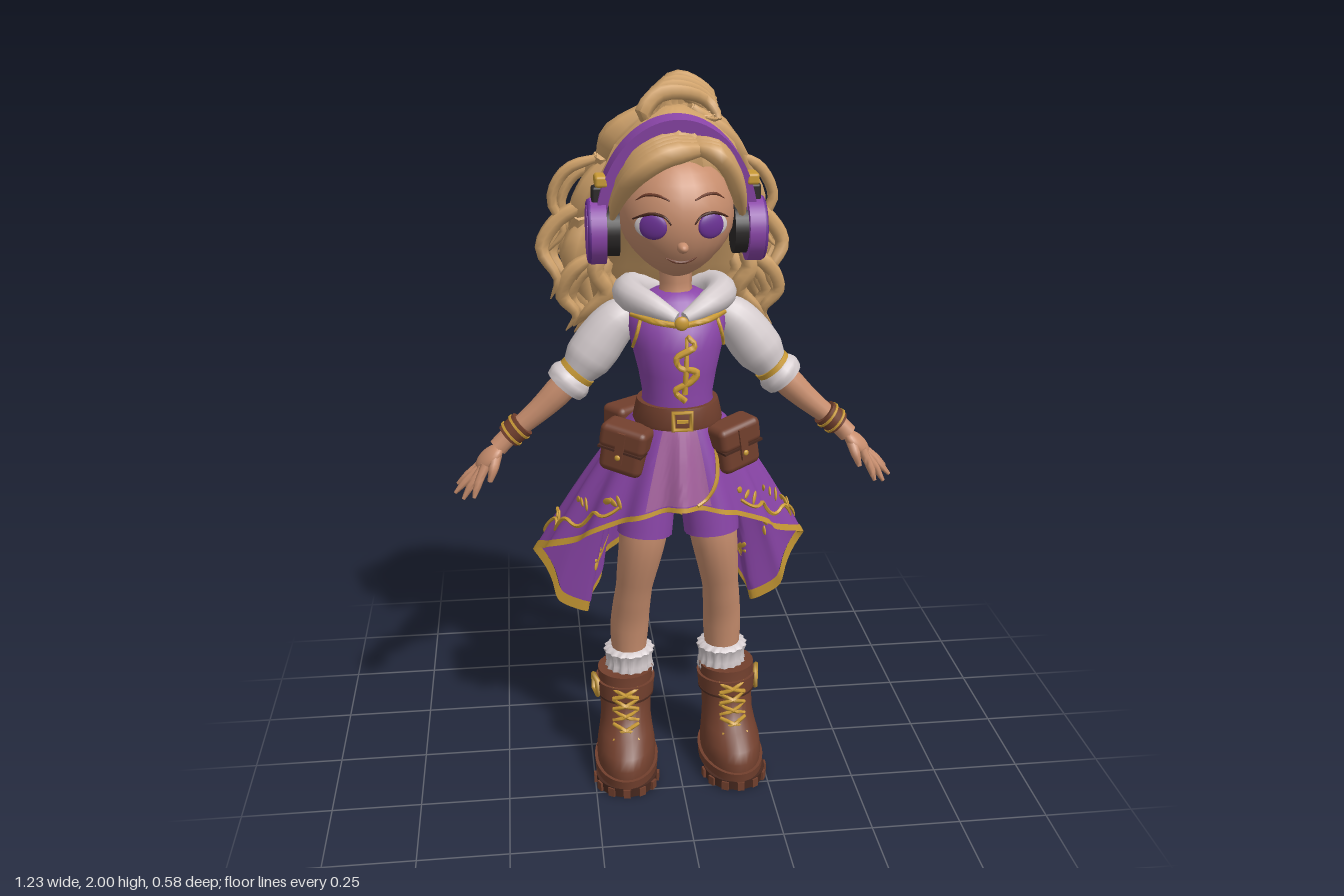
import * as THREE from 'three';
import { toCreasedNormals } from 'three/addons/utils/BufferGeometryUtils.js';
import { RoundedBoxGeometry } from 'three/addons/geometries/RoundedBoxGeometry.js';

const colours = { hair: 0xd0a26a, skin: 0xc88e6e, purple: 0x8a45a8, deepPurple: 0x6c3296, lavender: 0xa3609c,
  white: 0xd4cbcd, leather: 0x713f2d, darkLeather: 0x4a2a20, gold: 0xc99a35, charcoal: 0x2b2828 };
const { sin, cos, PI, sqrt, max, min, floor, abs } = Math;
const lerp = THREE.MathUtils.lerp;
const V = (x, y, z) => new THREE.Vector3(x, y, z);

// value of a list at t in 0..1
function sample(list, t) {
  const f = t * (list.length - 1), i = min(floor(f), list.length - 2);
  return lerp(list[i], list[i + 1], f - i);
}
// grid surface from a rule; u to the right and v up give an outward face
function surface(fn, nu, nv) {
  const pos = [], idx = [];
  for (let i = 0; i <= nv; i++) for (let j = 0; j <= nu; j++) pos.push(...fn(j / nu, i / nv));
  for (let i = 0; i < nv; i++) for (let j = 0; j < nu; j++) {
    const a = i * (nu + 1) + j, d = a + nu + 1;
    idx.push(a, a + 1, d + 1, a, d + 1, d);
  }
  const g = new THREE.BufferGeometry();
  g.setAttribute('position', new THREE.Float32BufferAttribute(pos, 3));
  g.setIndex(idx);
  return toCreasedNormals(g, 1.05);
}
// stacked ellipses, rows [y, centre z, x radius, z radius], with closed ends
function loft(rows, nu = 28, ripple = 0, waves = 0) {
  const r = [[rows[0][0], rows[0][1], 0, 0], ...rows, [rows.at(-1)[0], rows.at(-1)[1], 0, 0]];
  return surface((u, v) => {
    const [y, cz, rx, rz] = r[Math.round(v * (r.length - 1))], a = u * 2 * PI, k = 1 + ripple * cos(a * waves);
    return [rx * k * sin(a), y, cz + rz * k * cos(a)];
  }, nu, r.length - 1);
}
// round limb along a smooth path with changing radius and flat ends
function limb(points, radii, n = 14, m = 8) {
  const curve = new THREE.CatmullRomCurve3(points.map(p => V(...p)));
  const g = new THREE.TubeGeometry(curve, n, 1, m), p = g.attributes.position, nor = g.attributes.normal;
  for (let i = 0; i <= n; i++) {
    const t = min(max((i - 1) / (n - 2), 0), 1), c = curve.getPointAt(t);
    const r = i === 0 || i === n ? 0 : sample(radii, t);
    for (let j = 0; j <= m; j++) {
      const k = i * (m + 1) + j;
      p.setXYZ(k, c.x + nor.getX(k) * r, c.y + nor.getY(k) * r, c.z + nor.getZ(k) * r);
    }
  }
  return toCreasedNormals(g, 1.1);
}
const ball = (x, y, z) => new THREE.SphereGeometry(1, 24, 16).scale(x, y, z);

// hair volume: [y, centre z, x radius, z radius]
const HAIR = [[1.28, -.165, .17, .045], [1.36, -.15, .23, .075], [1.48, -.13, .255, .11], [1.6, -.09, .235, .145],
  [1.72, -.03, .195, .16], [1.82, .01, .152, .145], [1.88, .01, .09, .1], [1.91, 0, .03, .04]];
function hairPoint(a, y, off) {
  let i = 0;
  while (i < HAIR.length - 2 && y > HAIR[i + 1][0]) i++;
  const t = min(max((y - HAIR[i][0]) / (HAIR[i + 1][0] - HAIR[i][0]), 0), 1);
  const [cz, rx, rz] = [1, 2, 3].map(k => lerp(HAIR[i][k], HAIR[i + 1][k], t));
  return [(rx + off) * sin(a), y, cz + (rz + off) * cos(a)];
}
// front of the face at x, y
function faceZ(x, y) {
  const Y = (y - 1.645) / .165, k = Y < 0 ? 1 - .3 * Y * Y : 1;
  return .07 + .15 * sqrt(max(0, 1 - Y * Y - (x / (.152 * k)) ** 2));
}

// skirt hem, front to back: [angle, x, y, z]; the right side hangs a little further forward
const HEM = [[0, 0, .88, .262], [20, .09, .86, .235], [45, .19, .815, .18], [70, .29, .74, .1], [85, .37, .68, 0],
  [100, .39, .63, -.09], [115, .325, .47, -.08], [125, .245, .42, -.1], [135, .21, .52, -.13], [150, .16, .6, -.16],
  [165, .09, .66, -.165], [180, 0, .69, -.165]];
const ring = [...HEM, ...HEM.slice(1, -1).reverse().map(([a, x, y, z]) => [360 - a, -x, y, z + .025 * sin(a * PI / 180)])];
const hemCurve = new THREE.CatmullRomCurve3(ring.map(r => V(r[1], r[2], r[3])), true);
const waistCurve = new THREE.CatmullRomCurve3(ring.map(([a]) => V(.11 * sin(a * PI / 180), 1.11, .09 + .11 * cos(a * PI / 180))), true);
function skirtPoint(u, v, off = 0) {
  u = ((u % 1) + 1) % 1;
  const w = waistCurve.getPoint(u), h = hemCurve.getPoint(u), k = v ** .85, back = sin(PI * u) ** 6;
  const p = V(lerp(w.x, h.x, k), lerp(w.y, h.y, v), lerp(w.z, h.z, k));
  const out = V(p.x, 0, p.z - .06).normalize();
  return p.addScaledVector(out, off + .025 * back * sin(PI * v) + .012 * v * cos(u * 2 * PI * 18)).toArray();
}

export function createModel() {
  const M = {};
  for (const [name, color] of Object.entries(colours)) {
    M[name] = new THREE.MeshStandardMaterial({ color, side: THREE.DoubleSide });
    M[name].name = name;
  }
  const model = new THREE.Group();
  model.name = 'girlWithHeadphones';
  const add = (name, geo, mat, pos = [0, 0, 0], rot = [0, 0, 0], parent = model) => {
    const mesh = new THREE.Mesh(geo, M[mat]);
    mesh.name = name;
    mesh.position.set(...pos);
    mesh.rotation.set(...rot);
    parent.add(mesh);
    return mesh;
  };
  let seed = 7;
  const rnd = () => (seed = (seed * 16807) % 2147483647) / 2147483647;

  // head and face
  const head = ball(1, 1, 1), hp = head.attributes.position;
  for (let i = 0; i < hp.count; i++) {
    const y = hp.getY(i), k = y < 0 ? 1 - .3 * y * y : 1;
    hp.setXYZ(i, hp.getX(i) * .152 * k, y * .165, hp.getZ(i) * .15);
  }
  head.computeVertexNormals();
  add('head', head, 'skin', [0, 1.645, .07]);
  add('neck', limb([[0, 1.37, .06], [0, 1.45, .06], [0, 1.53, .06]], [.06, .043, .045]), 'skin');
  add('nose', ball(.015, .014, .026), 'skin', [0, 1.585, .215]);
  const onFace = (x, y, o = .001) => [x, y, faceZ(x, y) + o];
  add('mouth', limb([-.04, -.02, 0, .02, .04].map(x => onFace(x, 1.541 + x * x * 8)), [.001, .004, .004, .004, .001]), 'leather');
  for (const s of [1, -1]) {
    const rot = [0, s * .42, 0];
    add('eyeWhite', ball(.044, .031, .01), 'white', [s * .078, 1.637, .194], rot);
    add('iris', ball(.038, .033, .011), 'deepPurple', [s * .074, 1.637, .199], rot);
    add('eyelid', limb([.03, .045, .075, .1, .122].map((x, i) => onFace(s * x, [1.645, 1.664, 1.671, 1.664, 1.652][i], .007)), [.002, .004, .004, .002]), 'darkLeather');
    add('eyebrow', limb([.032, .06, .09, .113].map((x, i) => onFace(s * x, [1.703, 1.714, 1.713, 1.698][i])), [.002, .004, .004, .001]), 'leather');
  }

  // hair: inner volume, layered wavy locks, swept fringe, top tuft and loose wisps
  add('hairVolume', loft([[1.33, -.15, .05, .02], ...HAIR.slice(1)], 36, .04, 18), 'hair');
  const lock = (pts, r) => add('hairLock', limb(pts, [r * .5, r, r, r * .85, r * .6, r * .08], 18, 7), 'hair');
  for (const [y0, y1, from, count] of [[1.62, 1.3, 76, 28], [1.78, 1.37, 92, 25], [1.9, 1.52, 100, 22]])
    for (let i = 0; i < count; i++) {
      const a = (from + (360 - 2 * from) * (i + .5) / count) * PI / 180, ph = rnd() * 6, end = y1 + (rnd() - .5) * .1, pts = [];
      for (let k = 0; k <= 6; k++)
        pts.push(hairPoint(a + .13 * sin(k * 1.25 + ph), lerp(y0, end, k / 6), .008 + .014 * sin(k * 1.3 + ph) + (k === 6 ? .03 : 0)));
      lock(pts, .026 + rnd() * .014);
    }
  for (let k = 0; k < 7; k++) {
    const z = .012 - .03 * k, up = .004 * min(k, 4);
    lock([[.06, 1.825 + up, .165 + z], [-.04, 1.815 + up, .2 + z], [-.105, 1.775 + up, .192 + z], [-.15, 1.71, .145 + z], [-.175, 1.62, .08 + z]], .029);
    lock([[.03, 1.83 + up, .165 + z], [.085, 1.815 + up, .185 + z], [.125, 1.77 + up, .165 + z], [.155, 1.7, .13 + z], [.175, 1.62, .07 + z]], .026);
  }
  for (let k = 0; k < 7; k++) {
    const d = k * .014, z = .045 - .022 * k, h = .01 * abs(k - 3), in0 = .012 * (3 - k);
    lock([[-.03 + d, 1.87, z - in0], [-.085 + d * 1.5, 1.92 - h, z], [-.045 + d, 1.97 - h, z - in0 / 2], [.03, 1.975 - h, z - in0], [.09 + d / 3, 1.95 - d / 2 - h, z - in0 * 1.5],
      [.12 - d / 2, 1.905 - h, z - in0], [.08 - d / 2, 1.885, z]], .021 + .005 * rnd());
  }
  for (const [s, o] of [[-1, .04], [1, 0]])
    for (const [dx, dy, dz] of [[0, 0, 0], [-.025, -.02, -.05]]) {
      const wisp = (pts, r) => lock(pts.map(([x, y, z]) => [s * (x + dx), y + dy, z + dz]), r);
      wisp([[.17, 1.78, -.04], [.24 + o, 1.74, -.05], [.28 + o, 1.66, -.06], [.25 + o, 1.58, -.06], [.31 + o, 1.5, -.08]], .016);
      wisp([[.2, 1.66, -.05], [.26 + o, 1.61, -.06], [.31 + o, 1.53, -.06], [.27 + o, 1.45, -.04], [.29 + o, 1.39, -.06]], .022);
      wisp([[.2, 1.52, -.03], [.27, 1.47, -.04], [.3, 1.4, -.06], [.26, 1.34, -.07], [.29, 1.29, -.09]], .022);
      wisp([[.18, 1.55, 0], [.21, 1.48, 0], [.18, 1.42, -.01], [.23, 1.36, -.03], [.27, 1.31, -.06]], .024);
    }

  // headphones
  const band = new THREE.Shape();
  band.absellipse(0, 0, .213, .288, 0, PI, false);
  band.absellipse(0, 0, .186, .256, PI, 0, true);
  const bandGeo = new THREE.ExtrudeGeometry(band, { depth: .064, bevelEnabled: false, curveSegments: 28 }).translate(0, 0, -.032);
  add('headband', toCreasedNormals(bandGeo, .6), 'purple', [0, 1.61, .06], [.13, 0, 0]);
  for (const s of [1, -1]) {
    const disc = (name, r, w, x, mat) => add(name, new THREE.CylinderGeometry(r, r, w, 32), mat, [s * x, 1.6, .06], [0, 0, PI / 2]);
    disc('earCushion', .066, .04, .17, 'charcoal');
    disc('earCup', .086, .04, .205, 'purple');
    disc('earCupFace', .068, .016, .227, 'purple');
    add('earCupRim', new THREE.TorusGeometry(.076, .009, 8, 32), 'deepPurple', [s * .225, 1.6, .06], [0, PI / 2, 0]);
    add('cupArm', new RoundedBoxGeometry(.03, .05, .045, 2, .008), 'charcoal', [s * .206, 1.695, .068]);
    add('bandClip', new RoundedBoxGeometry(.034, .03, .07, 2, .008), 'gold', [s * .196, 1.735, .075]);
  }

  // bodice, neckline and scroll ornament
  add('bodice', loft([[1.04, .09, .115, .1], [1.12, .1, .1, .1], [1.17, .1, .095, .097], [1.23, .1, .105, .1], [1.3, .09, .122, .11],
    [1.35, .08, .132, .105], [1.39, .07, .13, .09], [1.42, .06, .1, .07], [1.44, .06, .06, .055]]), 'purple');
  add('bodiceScroll', limb([[.01, 1.17, .2], [-.018, 1.2, .203], [.025, 1.225, .204], [.04, 1.25, .203], [-.006, 1.265, .207], [-.014, 1.29, .205], [.035, 1.32, .197], [.015, 1.345, .19]],
    [.009, .008, .01, .008, .01, .007], 40, 6), 'gold');
  add('bodiceStem', limb([[.014, 1.34, .19], [.012, 1.27, .205], [.008, 1.19, .202]], [.004, .007, .008]), 'gold');
  for (const s of [1, -1]) {
    add('armholeTrim', limb([[s * .1, 1.385, .135], [s * .113, 1.34, .145], [s * .122, 1.3, .12]], [.005, .005, .004]), 'gold');
    // hooded collar
    add('collar', limb([[s * .012, 1.39, .178], [s * .07, 1.415, .145], [s * .12, 1.425, .07], [s * .115, 1.42, -.02], [s * .06, 1.41, -.08], [0, 1.4, -.1]],
      [.018, .034, .042, .045, .05, .055], 20, 12), 'white');
    add('collarTrim', limb([[s * .01, 1.375, .194], [s * .065, 1.383, .18], [s * .125, 1.388, .115]], [.008, .009, .006]), 'gold');
  }
  add('hood', ball(.15, .1, .075), 'white', [0, 1.335, -.075]);
  add('brooch', ball(.019, .019, .01), 'gold', [0, 1.382, .2]);

  // skirt with gold hem, front panel and embroidery
  add('skirt', surface((u, v) => skirtPoint(u, .95 * (1 - v)), 180, 14), 'purple');
  add('skirtHem', surface((u, v) => skirtPoint(u, 1 - .055 * v, .003), 180, 2), 'gold');
  add('frontPanel', surface((u, v) => skirtPoint(-.05 + .09 * u, .93 * (1 - v), .004), 24, 10), 'lavender');
  const trail = (name, fn, n = 24) => {
    const pts = [];
    for (let i = 0; i <= n; i++) pts.push(skirtPoint(...fn(i / n), .004));
    add(name, limb(pts, [.005, .006, .005], n * 3, 5), 'gold');
  };
  trail('panelEdge', t => [.02 + .05 * (1 - t) ** .6, .3 + .65 * t], 8);
  for (const s of [1, -1]) {
    trail('skirtVine', t => [s * (.09 + .15 * t), .82 + .04 * sin(t * 22)]);
    trail('backVine', t => [s * (.33 + .17 * t), .8 + .03 * sin(t * 25)]);
    for (let i = 0; i < 8; i++) {
      const u = s * (.1 + .055 * i), v = i % 2 ? .66 : .74, [x, , z] = skirtPoint(u, v);
      for (const d of [-1, 0, 1])
        add('skirtBlossom', ball(.02, .009, .004), 'gold', skirtPoint(u + .007 * d, v + .025 * d, .002), [0, Math.atan2(x, z - .06), s * (.3 + d * .8)]);
    }
  }

  // belt, buckle and pouches
  add('belt', loft([[1.09, .1, .12, .115], [1.1, .1, .122, .117], [1.14, .1, .113, .113], [1.15, .1, .11, .11]]), 'leather');
  add('buckle', new THREE.TorusGeometry(.034, .007, 6, 4).rotateZ(PI / 4), 'gold', [0, 1.12, .22]);
  add('bucklePin', new THREE.BoxGeometry(.03, .008, .008), 'gold', [0, 1.12, .222]);
  const pouch = (x, z, turn, tilt) => {
    const g = new THREE.Group();
    g.name = 'pouch';
    g.position.set(x, 1.03, z);
    g.rotation.set(0, turn, tilt);
    model.add(g);
    add('pouchBody', new RoundedBoxGeometry(.125, .135, .075, 3, .022), 'leather', [0, 0, 0], [0, 0, 0], g);
    add('pouchFlap', new RoundedBoxGeometry(.135, .07, .085, 3, .018), 'leather', [0, .037, .003], [0, 0, 0], g);
    add('pouchEdge', new THREE.BoxGeometry(.128, .006, .087), 'darkLeather', [0, .005, .003], [0, 0, 0], g);
    add('pouchStrap', new THREE.BoxGeometry(.024, .09, .008), 'leather', [0, .015, .047], [0, 0, 0], g);
    add('pouchStud', ball(.008, .008, .005), 'gold', [0, -.01, .052], [0, 0, 0], g);
  };
  pouch(.147, .165, .5, .17);
  pouch(-.147, .165, -.5, -.17);
  pouch(-.12, -.01, -2.5, 0);

  for (const s of [1, -1]) {
    const side = s > 0 ? 'left' : 'right';
    const m = pts => pts.map(([x, y, z]) => [s * x, y, z]);
    const part = (name, pts, radii, mat, n, k) => add(side + name, limb(m(pts), radii, n, k), mat);

    // arm with puffed sleeve, cuff and bracelets
    part('Sleeve', [[.11, 1.385, .045], [.165, 1.345, .045], [.22, 1.275, .045], [.265, 1.215, .05]], [.042, .058, .064, .068, .066, .048], 'white', 18, 16);
    part('CuffBand', [[.262, 1.22, .05], [.272, 1.209, .05]], [.053, .053], 'gold', 4, 16);
    part('CuffFrill', [[.27, 1.211, .05], [.285, 1.195, .05], [.303, 1.175, .05]], [.05, .064, .058], 'white', 7, 16);
    part('Forearm', [[.27, 1.21, .05], [.36, 1.12, .05], [.46, 1.035, .05], [.49, 1.005, .055]], [.04, .04, .033, .027, .027], 'skin', 14, 12);
    part('Bracelet', [[.42, 1.07, .05], [.46, 1.035, .05]], [.038, .036], 'leather', 5, 16);
    part('BraceletTrim', [[.428, 1.063, .05], [.433, 1.059, .05]], [.041, .041], 'gold', 4, 16);
    part('BraceletEdge', [[.449, 1.045, .05], [.454, 1.041, .05]], [.04, .04], 'gold', 4, 16);

    // hand
    const palm = add(side + 'Palm', ball(.05, .022, .036), 'skin', [s * .515, .977, .06]);
    palm.rotation.set(.35, 0, s * -.78);
    [[.605, .897, .04], [.612, .88, .065], [.59, .87, .088], [.56, .88, .108]].forEach(([x, y, z], i) =>
      part('Finger', [[.525, .965, .04 + .015 * i], [lerp(.53, x, .55), lerp(.96, y, .5), lerp(.05 + .012 * i, z, .6)], [x, y, z]], [.014, .012, .011, .005], 'skin', 10, 8));
    part('Thumb', [[.495, .99, .075], [.505, .955, .1], [.515, .925, .105]], [.016, .014, .007], 'skin', 10, 8);

    // leg, shorts and sock
    part('Leg', [[.08, .9, .11], [.1, .75, .13], [.122, .6, .108], [.135, .45, .068], [.138, .28, .06]], [.076, .066, .052, .056, .044], 'skin', 24, 16);
    part('ShortsLeg', [[.07, .98, .1], [.085, .87, .115], [.094, .765, .126]], [.08, .08, .077], 'purple', 12, 20);
    add(side + 'Sock', loft([[.27, .06, .06, .06], [.3, .06, .07, .068], [.325, .06, .064, .062], [.35, .06, .066, .064], [.365, .06, .072, .07], [.375, .06, .06, .058]], 64, .05, 16),
      'white', [s * .137, 0, 0]);

    // boot
    const boot = new THREE.Group();
    boot.name = side + 'Boot';
    boot.position.set(s * .145, 0, 0);
    boot.rotation.y = s * .07;
    model.add(boot);
    const piece = (name, geo, mat, pos, rot) => add(name, geo, mat, pos, rot, boot);
    piece('bootUpper', loft([[.045, .135, .084, .145], [.08, .135, .086, .147], [.11, .128, .083, .137], [.14, .105, .077, .113], [.17, .087, .073, .094],
      [.22, .075, .074, .085], [.28, .07, .079, .08], [.31, .068, .08, .081]]), 'leather');
    piece('soleRim', loft([[.025, .135, .091, .152], [.055, .135, .093, .155]], 36), 'leather');
    piece('soleFront', loft([[0, .19, .087, .093], [.03, .19, .089, .097]], 36), 'darkLeather');
    piece('heel', loft([[0, .04, .066, .056], [.03, .04, .07, .058]]), 'darkLeather');
    for (let i = -3; i <= 3; i++)
      piece('treadLug', new THREE.BoxGeometry(.02, .026, .02), 'leather', [.085 * sin(i * .5), .014, .19 + .09 * cos(i * .5)], [0, i * .5, 0]);
    piece('ankleStrap', loft([[.235, .072, .082, .088], [.28, .07, .087, .088]]), 'leather');
    piece('strapEdge', loft([[.23, .072, .083, .089], [.236, .072, .083, .089]]), 'darkLeather');
    piece('strapBuckle', new THREE.TorusGeometry(.032, .008, 6, 4).rotateZ(PI / 4), 'gold', [s * .087, .257, .085], [0, s * 1.3, 0]);
    for (let i = 0; i < 5; i++) {
      const y = .125 + i * .034, z = [.218, .187, .168, .165, .163][i];
      for (const d of [1, -1])
        piece('lace', limb([[-.036 * d, y - .012, z - .008], [0, y + .003, z + .004], [.036 * d, y + .014, z - .02]], [.006, .006], 8, 6), 'gold');
    }
  }
  add('shortsSeat', loft([[.84, .115, .08, .07], [.9, .11, .125, .095], [1, .1, .125, .1], [1.08, .1, .11, .1]]), 'purple');
  return model;
}
